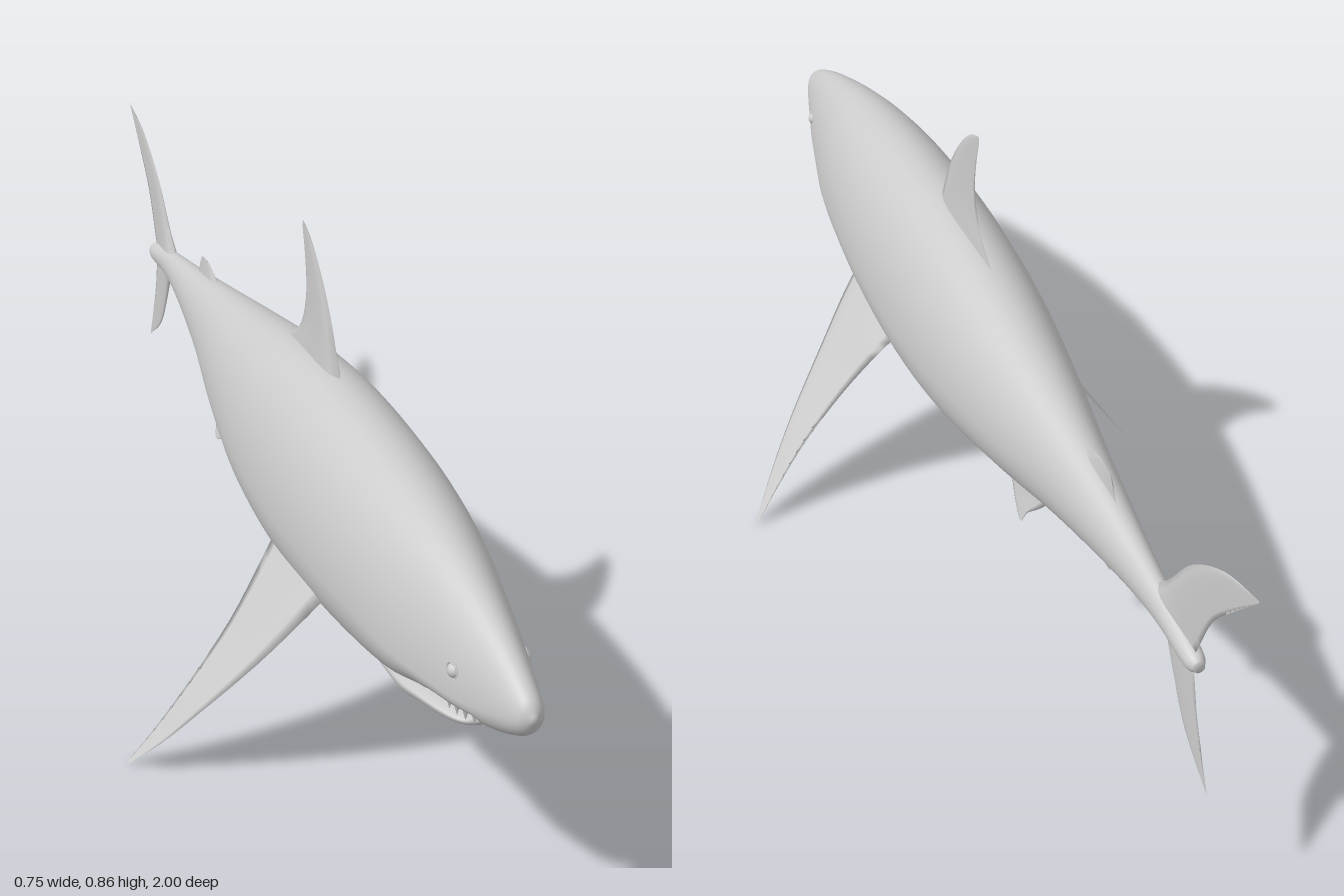
import * as THREE from 'three';

const grey = new THREE.MeshStandardMaterial({ color: 0xcccccc });
const finGrey = new THREE.MeshStandardMaterial({ color: 0xcccccc, side: THREE.DoubleSide });
const V = (x, y, z) => new THREE.Vector3(x, y, z);

// Skin over a list of closed rings, each with the same number of points, capped at both ends
function loft(rings) {
  const n = rings[0].length, pos = [], idx = [];
  rings.forEach(r => r.forEach(p => pos.push(p.x, p.y, p.z)));
  for (let i = 0; i < rings.length - 1; i++) {
    for (let j = 0; j < n; j++) {
      const a = i * n + j, b = i * n + (j + 1) % n;
      idx.push(a, b, a + n, b, b + n, a + n);
    }
  }
  [0, rings.length - 1].forEach(i => {
    const c = pos.length / 3, mid = V(0, 0, 0);
    rings[i].forEach(p => mid.addScaledVector(p, 1 / n));
    pos.push(mid.x, mid.y, mid.z);
    for (let j = 0; j < n; j++) {
      const a = i * n + j, b = i * n + (j + 1) % n;
      idx.push(...(i === 0 ? [c, b, a] : [c, a, b]));
    }
  });
  const g = new THREE.BufferGeometry();
  g.setAttribute('position', new THREE.Float32BufferAttribute(pos, 3));
  g.setIndex(idx);
  g.computeVertexNormals();
  return g;
}

// Egg-shaped hull from stations [z, top, bottom, half width, height fraction of the widest line]
function hull(stations, steps, sides, deform) {
  const heights = new THREE.CatmullRomCurve3(stations.map(s => V(s[0], s[1], s[2])), false, 'catmullrom');
  const widths = new THREE.CatmullRomCurve3(stations.map(s => V(s[3], s[4], 0)), false, 'catmullrom');
  const rings = [];
  for (let i = 0; i <= steps; i++) {
    const { x: z, y: top, z: bottom } = heights.getPoint(i / steps);
    const { x: w, y: f } = widths.getPoint(i / steps);
    const mid = bottom + (top - bottom) * f, ring = [];
    for (let j = 0; j < sides; j++) {
      const a = j / sides * Math.PI * 2, s = Math.sin(a), c = Math.cos(a);
      const p = V(w * s, mid + c * (c > 0 ? top - mid : mid - bottom), z);
      if (deform) deform(p, s, c);
      ring.push(p);
    }
    rings.push(ring);
  }
  return loft(rings);
}

// Thin lens-section fin between a leading and a trailing edge, thick along the given axis
function fin(lead, trail, thickness, axis) {
  const a = new THREE.CatmullRomCurve3(lead), b = new THREE.CatmullRomCurve3(trail);
  const spans = 20, chord = 10, rings = [];
  for (let i = 0; i <= spans; i++) {
    const t = i / spans, p = a.getPoint(t), q = b.getPoint(t), ring = [];
    const th = thickness * ((1 - t) ** 2 * 0.7 + (1 - t) * 0.3);
    for (let j = 0; j < chord * 2; j++) {
      const u = j <= chord ? j / chord : 2 - j / chord;
      const h = th * Math.sin(Math.PI * Math.sqrt(u)) * (j <= chord ? 1 : -1);
      ring.push(p.clone().lerp(q, u).addScaledVector(axis, h));
    }
    rings.push(ring);
  }
  return loft(rings);
}

export function createModel() {
  const model = new THREE.Group();
  model.name = 'shark';
  const add = (name, geometry, material = grey, parent = model) => {
    const m = new THREE.Mesh(geometry, material);
    m.name = name;
    parent.add(m);
    return m;
  };
  const flat = pts => pts.map(([z, y]) => V(0, y, z));
  const X = V(1, 0, 0);

  // Body, with the mouth hollowed into the underside of the snout
  const body = [
    [1.0, 0.485, 0.475, 0.004, 0.5], [0.985, 0.506, 0.449, 0.021, 0.45], [0.95, 0.525, 0.427, 0.033, 0.38],
    [0.9, 0.547, 0.408, 0.046, 0.3], [0.85, 0.565, 0.4, 0.059, 0.24], [0.8, 0.581, 0.393, 0.07, 0.22],
    [0.74, 0.598, 0.378, 0.083, 0.24], [0.66, 0.616, 0.345, 0.099, 0.32], [0.55, 0.633, 0.32, 0.113, 0.38],
    [0.4, 0.646, 0.304, 0.124, 0.39], [0.2, 0.65, 0.293, 0.126, 0.39], [0, 0.63, 0.307, 0.116, 0.41],
    [-0.2, 0.596, 0.345, 0.09, 0.44], [-0.4, 0.56, 0.394, 0.057, 0.47], [-0.6, 0.525, 0.434, 0.031, 0.5],
    [-0.72, 0.505, 0.449, 0.02, 0.5], [-0.82, 0.485, 0.447, 0.017, 0.5], [-0.845, 0.475, 0.455, 0.009, 0.5],
  ];
  add('body', hull(body, 102, 48, (p, s, c) => {
    const d = Math.max(0, 1 - ((p.z - 0.835) / 0.065) ** 2);
    if (c < 0) p.y += 0.055 * Math.sqrt(d) * Math.max(0, 1 - Math.abs(s / 0.9) ** 3);
  }));

  // Lower jaw
  add('lowerJaw', hull([
    [0.848, 0.388, 0.382, 0.01, 0.5], [0.84, 0.393, 0.375, 0.035, 0.6], [0.81, 0.398, 0.366, 0.056, 0.7],
    [0.76, 0.398, 0.359, 0.071, 0.7], [0.7, 0.395, 0.346, 0.078, 0.6], [0.6, 0.38, 0.333, 0.07, 0.5],
  ], 24, 32));

  // Upper teeth
  const teeth = new THREE.Group();
  teeth.name = 'upperTeeth';
  model.add(teeth);
  for (let i = -6; i <= 6; i++) {
    const a = i * 0.22;
    const tooth = add('tooth', new THREE.ConeGeometry(0.005, 0.018, 5), grey, teeth);
    tooth.rotation.x = Math.PI;
    tooth.position.set(0.05 * Math.sin(a), 0.409, 0.8 + 0.09 * Math.cos(a));
  }

  // Fins on the centre line
  add('dorsalFin', fin(
    flat([[0.25, 0.62], [0.225, 0.67], [0.195, 0.73], [0.145, 0.795], [0.09, 0.843], [0.055, 0.857]]),
    flat([[-0.04, 0.6], [-0.005, 0.63], [0.05, 0.675], [0.073, 0.74], [0.066, 0.8], [0.052, 0.85]]),
    0.014, X), finGrey);
  add('secondDorsalFin', fin(
    flat([[-0.4, 0.545], [-0.43, 0.56], [-0.455, 0.573], [-0.48, 0.578]]),
    flat([[-0.55, 0.52], [-0.535, 0.54], [-0.525, 0.56], [-0.515, 0.575]]),
    0.008, X), finGrey);
  add('analFin', fin(
    flat([[-0.41, 0.41], [-0.435, 0.4], [-0.46, 0.395], [-0.5, 0.39]]),
    flat([[-0.55, 0.44], [-0.53, 0.425], [-0.527, 0.405], [-0.522, 0.388]]),
    0.008, X), finGrey);
  add('upperTailFin', fin(
    flat([[-0.69, 0.5], [-0.73, 0.54], [-0.8, 0.625], [-0.9, 0.692], [-1, 0.722]]),
    flat([[-0.82, 0.46], [-0.838, 0.5], [-0.875, 0.58], [-0.935, 0.65], [-0.998, 0.717]]),
    0.01, X), finGrey);
  add('lowerTailFin', fin(
    flat([[-0.7, 0.49], [-0.725, 0.46], [-0.76, 0.39], [-0.81, 0.315], [-0.9, 0.25]]),
    flat([[-0.82, 0.47], [-0.83, 0.44], [-0.845, 0.38], [-0.87, 0.315], [-0.897, 0.252]]),
    0.01, X), finGrey);

  // Paired parts, mirrored across the centre line
  const pectoral = fin(
    [V(0.085, 0.4, 0.45), V(0.125, 0.348, 0.435), V(0.195, 0.25, 0.395), V(0.27, 0.15, 0.345), V(0.33, 0.065, 0.295), V(0.376, 0, 0.245)],
    [V(0.085, 0.4, 0.2), V(0.125, 0.348, 0.222), V(0.195, 0.25, 0.25), V(0.27, 0.15, 0.257), V(0.33, 0.065, 0.25), V(0.375, 0.002, 0.238)],
    0.013, V(0.8, 0.6, 0));
  const pelvic = fin(
    [V(0.03, 0.39, -0.18), V(0.038, 0.355, -0.2), V(0.046, 0.33, -0.235), V(0.052, 0.312, -0.27)],
    [V(0.03, 0.4, -0.35), V(0.038, 0.368, -0.32), V(0.046, 0.34, -0.292), V(0.052, 0.315, -0.28)],
    0.008, V(0.95, 0.3, 0));
  for (const side of [1, -1]) {
    const pair = new THREE.Group();
    pair.name = side > 0 ? 'leftSide' : 'rightSide';
    pair.scale.x = side;
    model.add(pair);
    add('pectoralFin', pectoral, finGrey, pair);
    add('pelvicFin', pelvic, finGrey, pair);
    const eye = add('eye', new THREE.SphereGeometry(0.012, 16, 12), grey, pair);
    eye.position.set(0.052, 0.48, 0.845);
    const rim = add('eyeRim', new THREE.TorusGeometry(0.0125, 0.002, 6, 20), grey, pair);
    rim.position.set(0.056, 0.48, 0.845);
    rim.rotation.y = Math.PI / 2 - 0.2;
  }
  return model;
}
